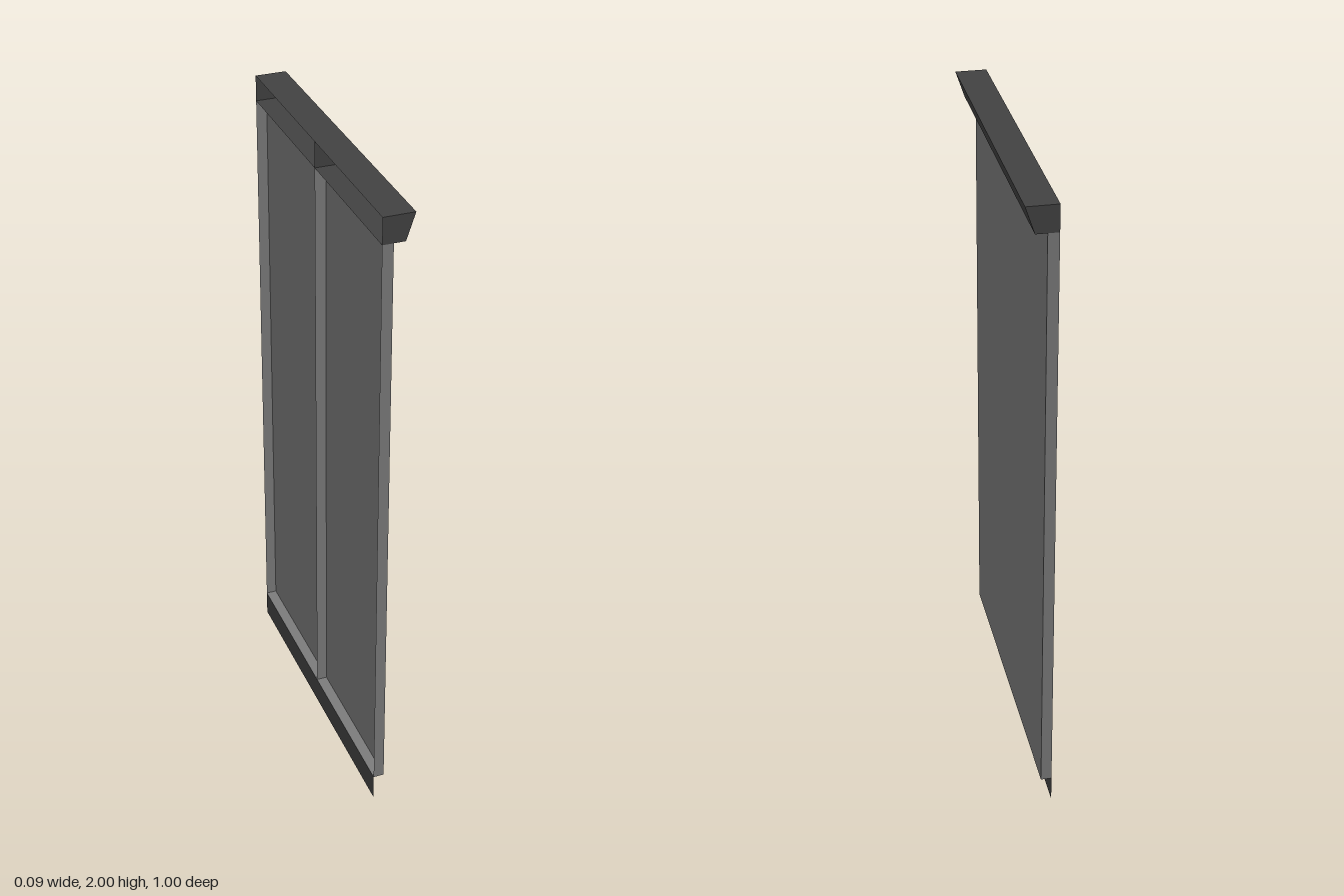
import * as THREE from 'three';

const BACK = -0.047, FACE = -0.014, LOW = 0.082, HIGH = 1.92;

export function createModel() {
  const panelGrey = new THREE.MeshStandardMaterial({ color: 0x7b7b7b, side: THREE.DoubleSide });
  panelGrey.name = 'panelGrey';
  const trimDark = new THREE.MeshStandardMaterial({ color: 0x424242, side: THREE.DoubleSide });
  trimDark.name = 'trimDark';

  const model = new THREE.Group();
  model.name = 'wallPanel';

  const add = (name, geometry, material) => {
    const mesh = new THREE.Mesh(geometry, material);
    mesh.name = name;
    model.add(mesh);
  };

  // Thin sheet running the full length in z, from one profile point to another
  const sheet = (name, [x0, y0], [x1, y1], material) => {
    const g = new THREE.PlaneGeometry(Math.hypot(x1 - x0, y1 - y0), 1);
    g.rotateX(-Math.PI / 2);
    g.rotateZ(Math.atan2(y1 - y0, x1 - x0));
    g.translate((x0 + x1) / 2, (y0 + y1) / 2, 0);
    add(name, g, material);
  };

  // Thin cross plate with a given outline in the xy plane
  const rib = (name, points, z, material) => {
    const shape = new THREE.Shape(points.map(([x, y]) => new THREE.Vector2(x, y)));
    add(name, new THREE.ShapeGeometry(shape).translate(0, 0, z), material);
  };

  // Panel face, bottom flange and base skirt
  sheet('panelFace', [FACE, HIGH], [FACE, LOW], panelGrey);
  sheet('bottomFlange', [FACE, LOW], [BACK, LOW], panelGrey);
  sheet('baseSkirt', [BACK, LOW], [BACK, 0], trimDark);

  // Hollow cornice with a sloped front, open at the back
  const cornice = [[BACK, HIGH], [0.02, HIGH], [0.047, 2], [BACK, 2]];
  ['corniceUnderside', 'corniceFront', 'corniceTop'].forEach((name, i) =>
    sheet(name, cornice[i], cornice[i + 1], trimDark));

  // End and middle ribs of the panel and the cornice
  const web = [[BACK, LOW], [FACE, LOW], [FACE, HIGH], [BACK, HIGH]];
  for (const z of [-0.5, 0, 0.5]) {
    rib(z ? 'panelEnd' : 'middleRib', web, z, panelGrey);
    rib(z ? 'corniceEnd' : 'corniceRib', cornice, z, trimDark);
  }
  return model;
}
